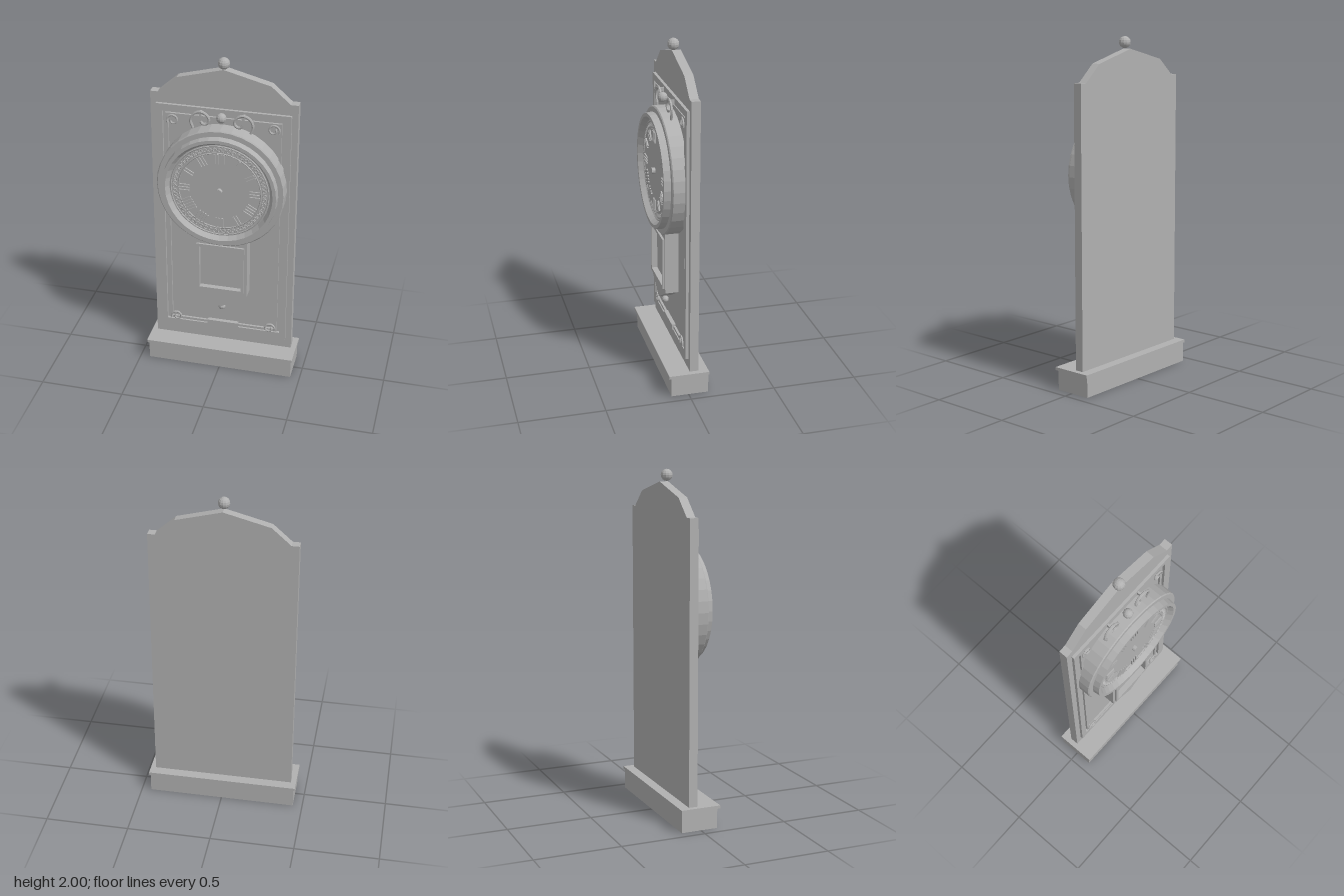
import * as THREE from 'three';

const stone = new THREE.MeshStandardMaterial({ color: 0xb0b0b0, flatShading: true });
stone.name = 'plain grey';

export function createModel() {
  const clock = new THREE.Group();
  clock.name = 'wallClock';

  const add = (name, geo, x = 0, y = 0, z = 0, parent = clock) => {
    const mesh = new THREE.Mesh(geo, stone);
    mesh.name = name;
    mesh.position.set(x, y, z);
    parent.add(mesh);
    return mesh;
  };
  // box given by its limits
  const box = (name, x0, x1, y0, y1, z0, z1) =>
    add(name, new THREE.BoxGeometry(x1 - x0, y1 - y0, z1 - z0),
      (x0 + x1) / 2, (y0 + y1) / 2, (z0 + z1) / 2);
  const vectors = (pts) => pts.map(([x, y]) => new THREE.Vector2(x, y));
  const extrude = (shape, depth) => new THREE.ExtrudeGeometry(shape, { depth, bevelEnabled: false });
  const rectangle = (w, y0, y1) => vectors([[-w, y0], [w, y0], [w, y1], [-w, y1]]);
  // rectangular frame with an opening
  const frame = (name, w, y0, y1, iw, iy0, iy1, z0, z1) => {
    const shape = new THREE.Shape(rectangle(w, y0, y1));
    shape.holes.push(new THREE.Path(rectangle(iw, iy0, iy1)));
    add(name, extrude(shape, z1 - z0), 0, 0, z0);
  };
  const ball = (name, r, y, z) => add(name, new THREE.SphereGeometry(r, 12, 8), 0, y, z);

  // plinth and case
  box('plinth', -0.443, 0.443, 0, 0.117, -0.117, 0.102);
  box('plinthCap', -0.452, 0.452, 0.117, 0.135, -0.121, 0.117);
  box('backPanel', -0.421, 0.421, 0.135, 1.762, -0.063, -0.012);

  // pediment and finial
  const gable = new THREE.Shape(vectors([
    [-0.377, 1.762], [0.377, 1.762], [0.267, 1.86], [0, 1.93], [-0.267, 1.86]]));
  add('pediment', extrude(gable, 0.051), 0, 0, -0.063);
  ball('topFinial', 0.034, 1.966, -0.02);

  // mouldings on the front panel
  frame('outerMoulding', 0.386, 0.2, 1.698, 0.349, 0.245, 1.657, -0.013, 0.005);
  frame('innerMoulding', 0.333, 0.25, 1.645, 0.317, 0.265, 1.63, -0.013, 0.001);
  box('lowerPlaque', -0.095, 0.095, 0.243, 0.275, -0.013, 0.012);

  // clock drum with stepped bezel and recessed dial
  const dial = new THREE.Group();
  dial.name = 'clockDial';
  dial.position.y = 1.23;
  clock.add(dial);
  const profile = vectors([
    [0.372, -0.012], [0.372, 0.072], [0.366, 0.078], [0.337, 0.078], [0.332, 0.117],
    [0.312, 0.117], [0.293, 0.088], [0, 0.088]]);
  add('drum', new THREE.LatheGeometry(profile, 36).rotateX(Math.PI / 2), 0, 0, 0, dial);
  for (const r of [0.284, 0.24])
    add('chapterRing', new THREE.TorusGeometry(r, 0.004, 4, 48), 0, 0, 0.088, dial);
  for (let i = 0; i < 60; i++) {
    const a = (i / 60) * Math.PI * 2;
    add('minuteRing', new THREE.TorusGeometry(0.0105, 0.003, 4, 8),
      0.262 * Math.cos(a), 0.262 * Math.sin(a), 0.088, dial);
  }
  // groups of raised bars mark the hours, clockwise from the top
  [4, 1, 2, 3, 4, 2, 3, 4, 5, 3, 2, 3].forEach((count, hour) => {
    const marker = new THREE.Group();
    marker.name = 'hourMarker';
    marker.rotation.z = -hour * Math.PI / 6;
    dial.add(marker);
    for (let i = 0; i < count; i++)
      add('hourBar', new THREE.BoxGeometry(0.009, 0.06, 0.012),
        (i - (count - 1) / 2) * 0.018, 0.205, 0.09, marker);
  });
  add('centreBoss', new THREE.CylinderGeometry(0.018, 0.018, 0.022, 12).rotateX(Math.PI / 2),
    0, 0, 0.097, dial);

  // pendulum box with a window and pointed base
  const outline = new THREE.Shape(vectors([
    [-0.16, 0.52], [0, 0.425], [0.16, 0.52], [0.16, 0.9], [-0.16, 0.9]]));
  outline.holes.push(new THREE.Path(rectangle(0.127, 0.557, 0.842)));
  add('pendulumBox', extrude(outline, 0.08), 0, 0, -0.012);
  frame('windowFrame', 0.143, 0.542, 0.857, 0.125, 0.559, 0.84, 0.06, 0.08);
  box('windowPane', -0.13, 0.13, 0.55, 0.85, 0.02, 0.045);
  ball('lowerFinial', 0.021, 0.403, 0.028);

  // scrolls, mirrored left and right
  const tube = (pts, r) => new THREE.TubeGeometry(
    new THREE.CatmullRomCurve3(pts.map(([x, y]) => new THREE.Vector3(x, y, 0))), 28, r, 6);
  const crest = [[0.165, 1.585], [0.178, 1.63], [0.16, 1.67], [0.122, 1.687], [0.085, 1.67],
    [0.072, 1.64], [0.085, 1.617], [0.108, 1.615], [0.12, 1.63]];
  const curl = [];
  for (let i = 0; i <= 14; i++) {
    const a = Math.PI * (-0.15 + i * 0.17), r = 0.036 - i * 0.0017;
    curl.push([r * Math.cos(a), r * Math.sin(a)]);
  }
  for (const s of [-1, 1]) {
    const mirror = (pts) => pts.map(([x, y]) => [s * x, y]);
    add('crestScroll', tube(mirror(crest), 0.008), 0, 0, 0.034);
    for (const y of [1.605, 0.27])
      add('cornerScroll', tube(mirror(curl), 0.006), s * 0.288, y, 0.006);
    // small stems tie the crest scrolls to the panel
    box('crestStem', s * 0.122 - 0.006, s * 0.122 + 0.006, 1.66, 1.684, -0.012, 0.034);
  }
  ball('crestBall', 0.029, 1.665, 0.042);

  return clock;
}
